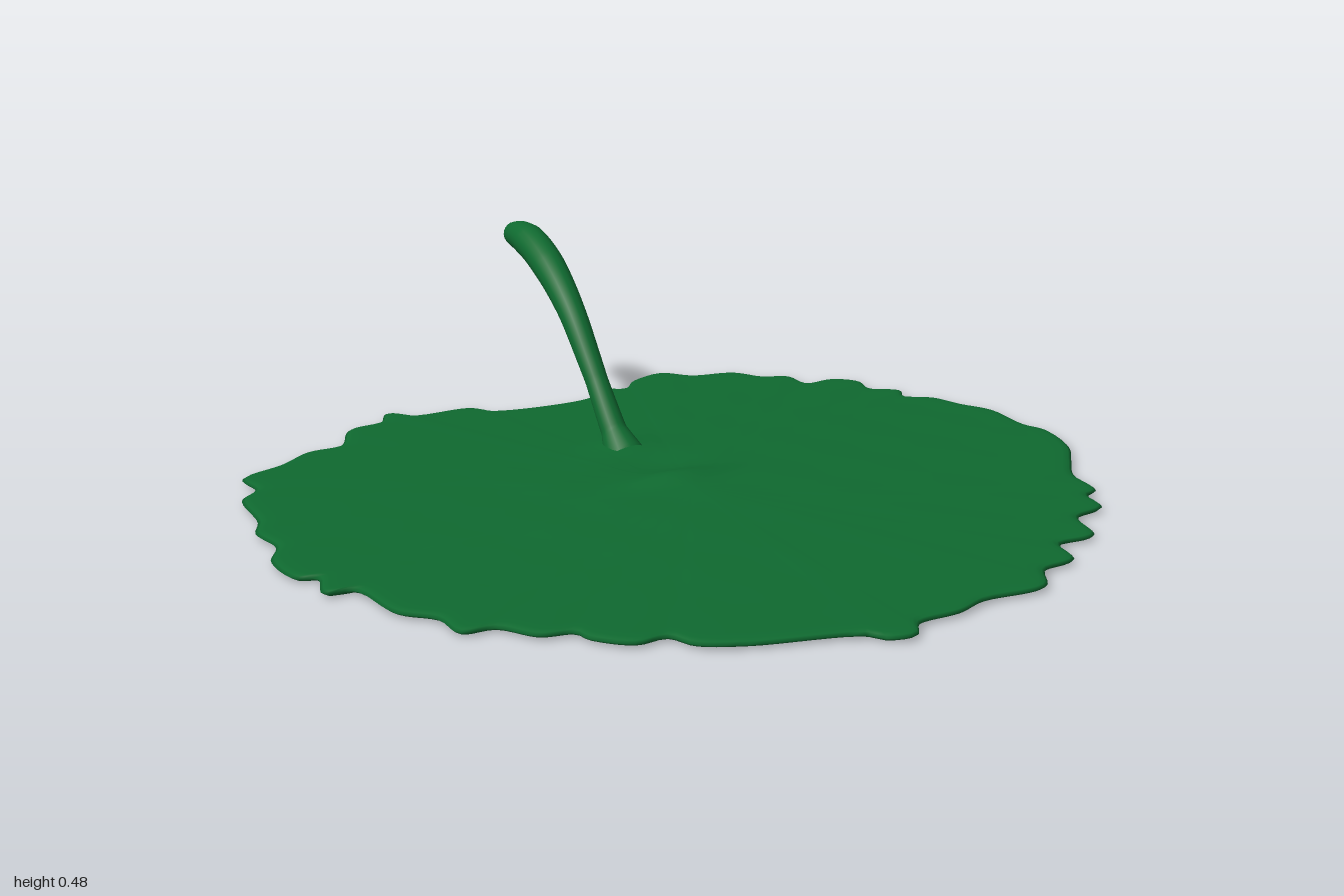
import * as THREE from 'three';
import { mergeVertices } from 'three/addons/utils/BufferGeometryUtils.js';

const green = new THREE.MeshStandardMaterial({ color: 0x0f6a30 });

// Ragged leaf edge as x, z pairs, clockwise from the notch at the back
const EDGE = [
  0.02, -0.78, 0.13, -0.79, 0.2, -0.84, 0.25, -0.82, 0.3, -0.87, 0.4, -0.9, 0.46, -0.84, 0.57, -0.81,
  0.62, -0.74, 0.68, -0.71, 0.69, -0.63, 0.77, -0.63, 0.82, -0.58, 0.81, -0.51, 0.87, -0.46, 0.85, -0.41,
  0.91, -0.36, 0.94, -0.28, 0.98, -0.2, 0.98, -0.06, 1.0, 0, 0.97, 0.13, 0.91, 0.22, 0.85, 0.31,
  0.83, 0.42, 0.79, 0.44, 0.77, 0.52, 0.68, 0.55, 0.64, 0.66, 0.54, 0.67, 0.51, 0.76, 0.42, 0.78,
  0.36, 0.86, 0.21, 0.86, 0.13, 0.89, 0.02, 0.9, -0.02, 0.95, -0.08, 0.94, -0.11, 0.9, -0.34, 0.83,
  -0.43, 0.78, -0.46, 0.72, -0.53, 0.72, -0.6, 0.65, -0.61, 0.61, -0.68, 0.59, -0.74, 0.51, -0.81, 0.5,
  -0.82, 0.41, -0.88, 0.34, -0.91, 0.18, -0.97, 0.17, -0.95, 0.08, -0.99, 0.06, -1.0, -0.06, -0.96, -0.14,
  -0.97, -0.24, -0.94, -0.31, -0.92, -0.47, -0.87, -0.52, -0.87, -0.61, -0.76, -0.66, -0.67, -0.72, -0.58, -0.73,
  -0.51, -0.84, -0.42, -0.86, -0.38, -0.92, -0.33, -0.87, -0.18, -0.86, -0.14, -0.81,
];

const bump = (x, z, cx, cz, sx, sz) => Math.exp(-(((x - cx) / sx) ** 2) - ((z - cz) / sz) ** 2);

// Upper surface: gentle dome, a low mound in front of the stem, faint ripples
function topHeight(x, z, s) {
  return 0.018 + 0.014 * (1 - s)
    + 0.018 * bump(x, z, 0, -0.07, 0.12, 0.05)
    + 0.01 * bump(x, z, 0, -0.37, 0.08, 0.07)
    - 0.006 * bump(x, z, 0, -0.21, 0.12, 0.06)
    + 0.0012 * Math.sin(x * 23 + z * 9) * Math.sin(z * 21 - x * 6) * (1 - s);
}

function leafGeometry() {
  const points = [];
  for (let i = 0; i < EDGE.length; i += 2) points.push(new THREE.Vector3(EDGE[i], 0, EDGE[i + 1]));
  const count = 360;
  const outline = new THREE.CatmullRomCurve3(points, true, 'centripetal').getSpacedPoints(count).slice(0, count);

  // Rings run from the top centre over the thin rounded rim to the bottom centre
  const rings = [];
  for (let k = 0; k <= 38; k++) rings.push([k * 0.0257]);
  rings.push([0.992, 0.016], [1, 0.011], [0.992, 0.005], [0.96, 0.001], [0.5, 0], [0, 0]);

  const positions = [], index = [];
  for (const [s, y] of rings) {
    for (const p of outline) positions.push(p.x * s, y ?? topHeight(p.x * s, p.z * s, s), p.z * s);
  }
  for (let k = 0; k < rings.length - 1; k++) {
    for (let i = 0; i < count; i++) {
      const j = (i + 1) % count;
      const a = k * count + i, b = k * count + j, c = a + count, d = b + count;
      if (k > 0) index.push(a, b, d);
      if (k < rings.length - 2) index.push(a, d, c);
    }
  }
  let geometry = new THREE.BufferGeometry();
  geometry.setAttribute('position', new THREE.Float32BufferAttribute(positions, 3));
  geometry.setIndex(index);
  geometry = mergeVertices(geometry, 1e-5);
  geometry.computeVertexNormals();
  return geometry;
}

// Arched stem whose radius follows [t, radius] stops
function stemGeometry() {
  const path = new THREE.CatmullRomCurve3([
    [0, 0.01, -0.35], [-0.005, 0.06, -0.39], [-0.01, 0.2, -0.5], [-0.012, 0.32, -0.61],
    [-0.01, 0.4, -0.735], [-0.008, 0.437, -0.85], [-0.008, 0.436, -0.955],
  ].map(p => new THREE.Vector3(...p)));
  const stops = [[0, 0.05], [0.08, 0.032], [0.25, 0.028], [0.5, 0.034], [0.7, 0.041], [0.85, 0.042],
    [0.93, 0.036], [0.97, 0.029], [0.99, 0.02], [1, 0.0]];
  const radiusAt = t => {
    const i = Math.max(1, stops.findIndex(s => s[0] >= t - 1e-9));
    const [t0, r0] = stops[i - 1], [t1, r1] = stops[i];
    return THREE.MathUtils.lerp(r0, r1, (t - t0) / (t1 - t0));
  };
  const steps = 100, sides = 20;
  let geometry = new THREE.TubeGeometry(path, steps, 1, sides);
  const pos = geometry.attributes.position, v = new THREE.Vector3();
  for (let k = 0; k <= steps; k++) {
    const t = k / steps, centre = path.getPointAt(t), r = radiusAt(t);
    for (let i = 0; i <= sides; i++) {
      const n = k * (sides + 1) + i;
      v.fromBufferAttribute(pos, n).sub(centre).multiplyScalar(r).add(centre);
      pos.setXYZ(n, v.x, Math.max(v.y, 0.004), v.z);
    }
  }
  geometry.deleteAttribute('uv');
  geometry.deleteAttribute('normal');
  geometry = mergeVertices(geometry, 1e-5);
  geometry.computeVertexNormals();
  return geometry;
}

export function createModel() {
  const group = new THREE.Group();
  group.name = 'lilyPad';
  for (const [name, geometry] of [['leaf', leafGeometry()], ['stem', stemGeometry()]]) {
    const mesh = new THREE.Mesh(geometry, green);
    mesh.name = name;
    group.add(mesh);
  }
  return group;
}
